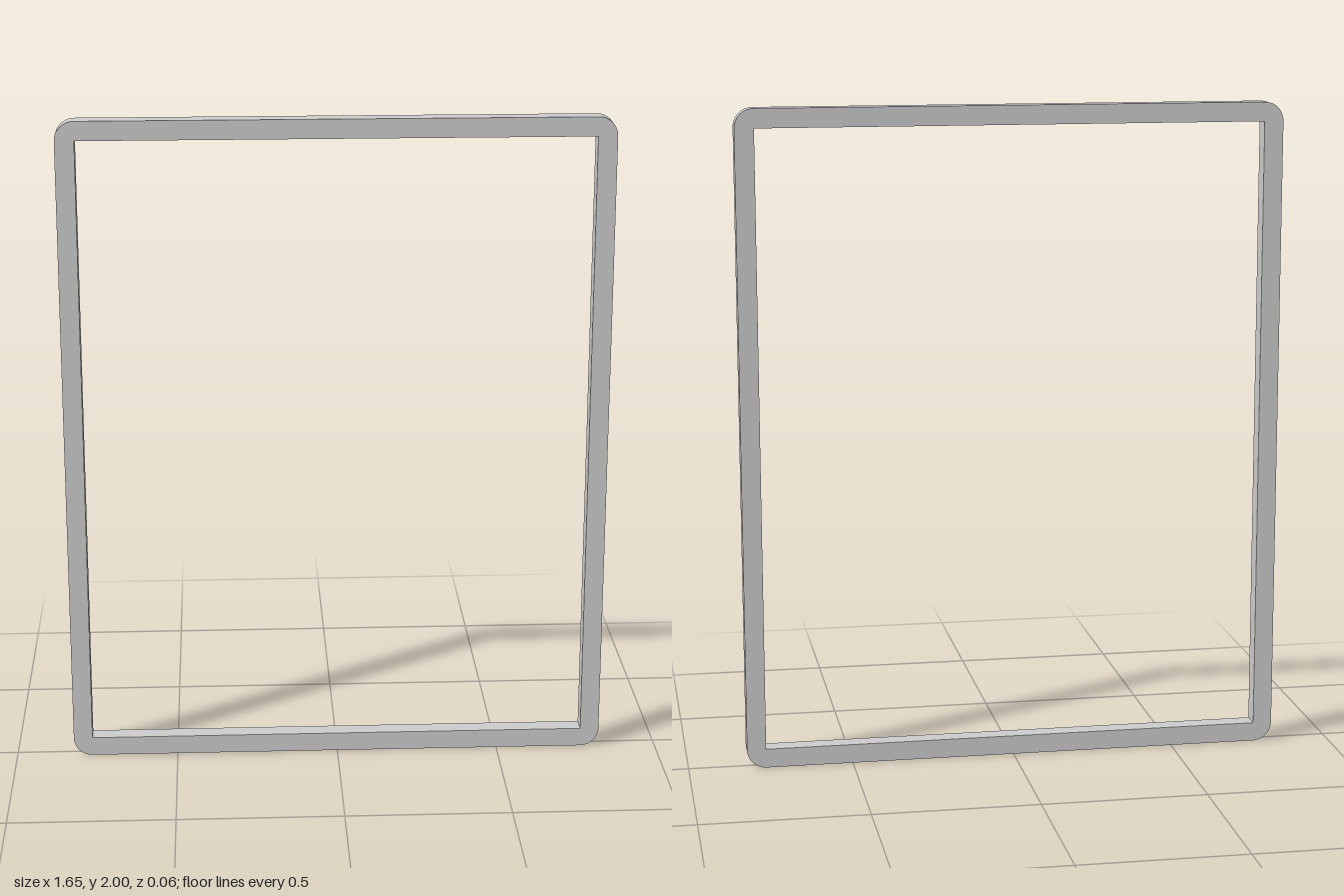
import * as THREE from 'three';
import { toCreasedNormals } from 'three/addons/utils/BufferGeometryUtils.js';

const HALF_W = 0.823, HEIGHT = 2, BAR = 0.058, DEPTH = 0.057;

export function createModel() {
  const group = new THREE.Group();
  group.name = 'rectangularFrame';

  // Outer outline with corners rounded by the bar width
  const outline = new THREE.Shape();
  outline.moveTo(HALF_W - BAR, 0);
  outline.absarc(HALF_W - BAR, BAR, BAR, -Math.PI / 2, 0);
  outline.absarc(HALF_W - BAR, HEIGHT - BAR, BAR, 0, Math.PI / 2);
  outline.absarc(-HALF_W + BAR, HEIGHT - BAR, BAR, Math.PI / 2, Math.PI);
  outline.absarc(-HALF_W + BAR, BAR, BAR, Math.PI, Math.PI * 1.5);
  outline.closePath();

  // Sharp-cornered opening
  const x = HALF_W - BAR, y0 = BAR, y1 = HEIGHT - BAR;
  const opening = new THREE.Path();
  opening.moveTo(-x, y0).lineTo(-x, y1).lineTo(x, y1).lineTo(x, y0).closePath();
  outline.holes.push(opening);

  const geometry = new THREE.ExtrudeGeometry(outline, {
    depth: DEPTH, bevelEnabled: false, curveSegments: 12,
  });
  geometry.translate(0, 0, -DEPTH / 2);

  // Smooth rounded corners, crisp front and back edges
  const frame = new THREE.Mesh(
    toCreasedNormals(geometry, Math.PI / 6),
    new THREE.MeshStandardMaterial({ color: 0xcccccc }),
  );
  frame.name = 'frame';
  group.add(frame);
  return group;
}
